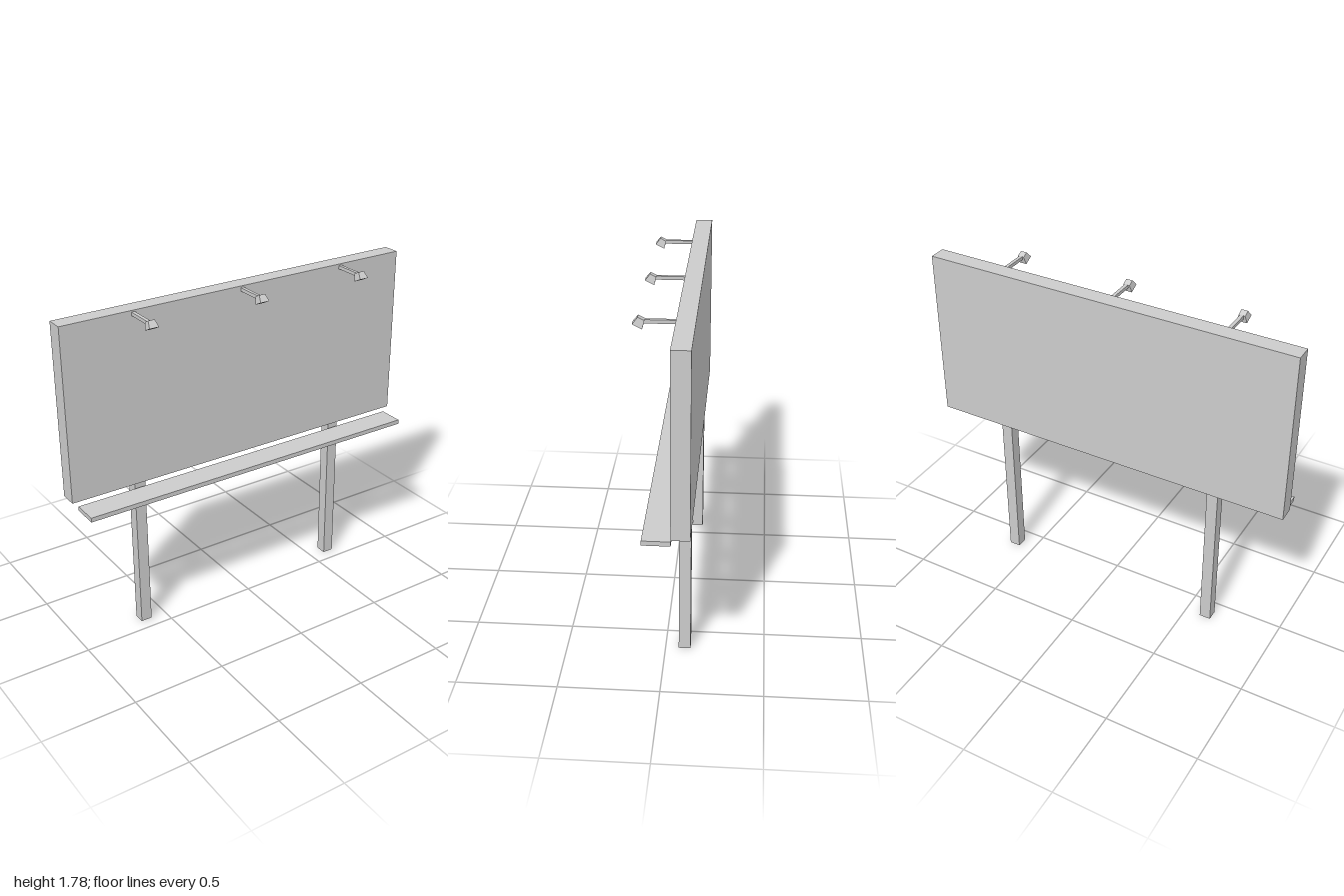
import * as THREE from 'three';

export function createModel() {
  const group = new THREE.Group();
  const body = new THREE.MeshStandardMaterial({ color: 0xcccccc, side: THREE.DoubleSide });
  body.name = 'light grey';
  const dark = new THREE.MeshStandardMaterial({ color: 0x555555, side: THREE.DoubleSide });
  dark.name = 'dark grey';

  const add = (name, geometry, material, x, y, z, parent = group) => {
    const mesh = new THREE.Mesh(geometry, material);
    mesh.name = name;
    mesh.position.set(x, y, z);
    parent.add(mesh);
    return mesh;
  };

  // Four-sided tapered prism with flat faces; top and bottom are side lengths
  const prism = (top, bottom, height, open) => {
    const g = new THREE.CylinderGeometry(top * Math.SQRT1_2, bottom * Math.SQRT1_2, height, 4, 1, open)
      .rotateY(Math.PI / 4).toNonIndexed();
    g.computeVertexNormals();
    return g;
  };

  // Display panel and the service walkway in front of it
  add('panel', new THREE.BoxGeometry(2, 0.92, 0.09), body, 0, 1.31, -0.097);
  add('walkway', new THREE.BoxGeometry(1.94, 0.024, 0.136), body, 0, 0.813, 0.017);

  // Hollow square posts, open at the ends
  for (const x of [-0.615, 0.615]) {
    add(x > 0 ? 'leftPost' : 'rightPost', prism(0.06, 0.06, 0.85, true), body, x, 0.425, -0.097);
  }

  // Lamps on arms, tilted back towards the panel, with a dark lens underneath
  for (const x of [-0.615, 0, 0.615]) {
    const lamp = new THREE.Group();
    lamp.name = 'lamp';
    lamp.position.x = x;
    group.add(lamp);
    add('lampArm', new THREE.BoxGeometry(0.018, 0.018, 0.15), body, 0, 1.753, 0.023, lamp);
    const head = add('lampHead', prism(0.034, 0.051, 0.039, false), [body, body, dark], 0, 1.75, 0.114, lamp);
    head.rotation.x = -0.46;
  }

  return group;
}
